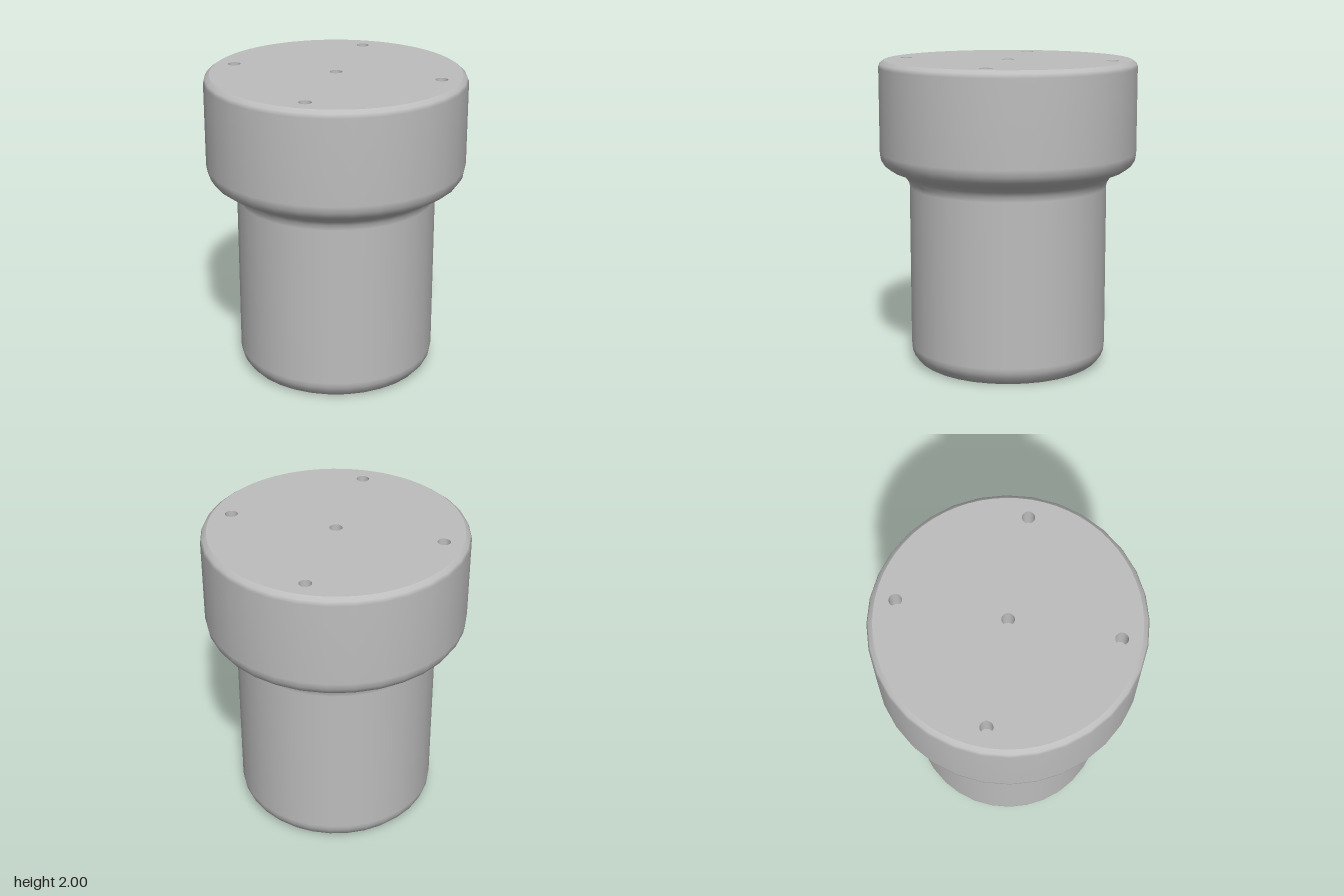
import * as THREE from 'three';

const SEGMENTS = 32;

export function createModel() {
  const model = new THREE.Group();
  model.name = 'flangedHousing';
  const grey = new THREE.MeshStandardMaterial({ color: 0xbdbdbd });
  grey.name = 'satin grey';

  const add = (name, geometry, x = 0, y = 0, z = 0) => {
    const mesh = new THREE.Mesh(geometry, grey);
    mesh.name = name;
    mesh.position.set(x, y, z);
    model.add(mesh);
    return mesh;
  };
  const lathe = (points) =>
    new THREE.LatheGeometry(points.map(([r, y]) => new THREE.Vector2(r, y)), SEGMENTS);

  // Outer wall: rounded foot, straight stem, flared shoulder, wide head
  add('outerBody', lathe([
    [0.57, 0], [0.595, 0.015], [0.625, 0.05], [0.64, 0.085], [0.645, 0.12],
    [0.645, 1.18], [0.65, 1.215], [0.67, 1.245], [0.70, 1.27],
    [0.76, 1.295], [0.805, 1.325], [0.83, 1.365], [0.838, 1.41],
    [0.838, 1.955], [0.828, 1.98], [0.80, 2],
  ]));

  // Open bore reached from below
  const boreTop = 1.3;
  add('boreWall', lathe([[0.57, boreTop], [0.57, 0]]));
  add('boreCeiling', new THREE.CircleGeometry(0.57, SEGMENTS), 0, boreTop, 0)
    .rotation.x = Math.PI / 2;

  // Flat top pierced by one central and four corner screw holes
  const holeRadius = 0.04, holeDepth = 0.15, spread = 0.48;
  const centres = [[0, 0]];
  for (const sx of [-1, 1]) for (const sz of [-1, 1]) centres.push([sx * spread, sz * spread]);

  const top = new THREE.Shape().absarc(0, 0, 0.80, 0, Math.PI * 2);
  for (const [x, z] of centres) {
    top.holes.push(new THREE.Path().absarc(x, -z, holeRadius, 0, Math.PI * 2, true));
    add('screwHoleWall', lathe([[holeRadius, 0], [holeRadius, -holeDepth]]), x, 2, z);
    add('screwHoleFloor', new THREE.CircleGeometry(holeRadius, SEGMENTS), x, 2 - holeDepth, z)
      .rotation.x = -Math.PI / 2;
  }
  add('topFace', new THREE.ShapeGeometry(top, SEGMENTS), 0, 2, 0).rotation.x = -Math.PI / 2;

  return model;
}
